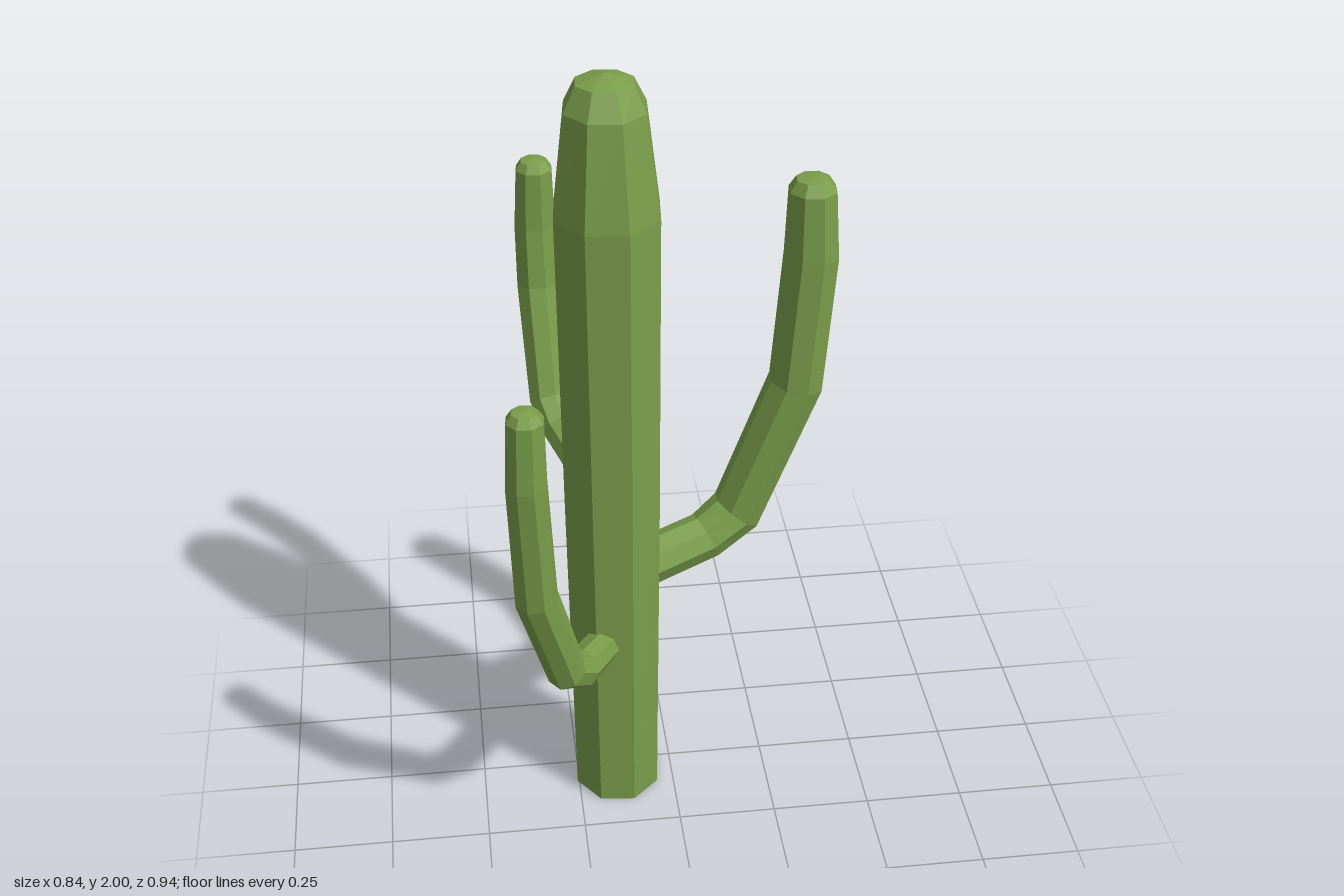
import * as THREE from 'three';

const SIDES = 8;
const PHASE = -17 * Math.PI / 180;
const UP = new THREE.Vector3(0, 1, 0);

// Lofts an eight-sided stem through rings [x, y, z, rx, rz], closed by a low dome
function stem(name, rings, tipY, material) {
  const centres = rings.map(r => new THREE.Vector3(r[0], r[1], r[2]));
  const last = rings.length - 1;
  const pos = [], index = [];
  rings.forEach(([, , , rx, rz = rx], i) => {
    // Each ring faces along the bisector of its neighbouring segments
    const dir = new THREE.Vector3();
    if (i > 0) dir.add(centres[i].clone().sub(centres[i - 1]).normalize());
    if (i < last) dir.add(centres[i + 1].clone().sub(centres[i]).normalize());
    if (i >= last - 1) dir.copy(UP);
    const turn = new THREE.Quaternion().setFromUnitVectors(UP, dir.normalize());
    for (let j = 0; j < SIDES; j++) {
      const a = PHASE + j / SIDES * Math.PI * 2;
      const p = new THREE.Vector3(Math.cos(a) * rx, 0, Math.sin(a) * rz);
      pos.push(...p.applyQuaternion(turn).add(centres[i]).toArray());
    }
  });
  const base = rings.length * SIDES, tip = base + 1;
  pos.push(...centres[0].toArray(), centres[last].x, tipY, centres[last].z);
  for (let j = 0; j < SIDES; j++) {
    const k = (j + 1) % SIDES;
    for (let i = 0; i < last; i++) {
      const a = i * SIDES + j, b = i * SIDES + k;
      index.push(a, a + SIDES, b, b, a + SIDES, b + SIDES);
    }
    index.push(base, j, k, last * SIDES + j, tip, last * SIDES + k);
  }
  const indexed = new THREE.BufferGeometry();
  indexed.setAttribute('position', new THREE.Float32BufferAttribute(pos, 3));
  indexed.setIndex(index);
  const geometry = indexed.toNonIndexed();
  geometry.computeVertexNormals();
  const mesh = new THREE.Mesh(geometry, material);
  mesh.name = name;
  return mesh;
}

export function createModel() {
  const group = new THREE.Group();
  group.name = 'cactus';
  const green = new THREE.MeshStandardMaterial({ color: 0x7a9e4a, flatShading: true });
  green.name = 'cactus green';

  // Trunk: widens slightly, then tapers to a blunt crown
  group.add(stem('trunk', [
    [-0.145, 0, 0.04, 0.115, 0.13],
    [-0.145, 0.85, 0.04, 0.125, 0.139],
    [-0.145, 1.67, 0.04, 0.131, 0.141],
    [-0.145, 1.92, 0.037, 0.1, 0.104],
    [-0.145, 1.98, 0.035, 0.07, 0.07],
  ], 2, green));

  // Tall arm on the left side
  group.add(stem('leftArm', [
    [-0.08, 0.655, 0.015, 0.062],
    [0.1, 0.695, -0.04, 0.062],
    [0.182, 0.75, -0.065, 0.068],
    [0.325, 1.12, -0.07, 0.07],
    [0.352, 1.47, -0.072, 0.069],
    [0.35, 1.64, -0.075, 0.06],
    [0.35, 1.668, -0.075, 0.042],
  ], 1.673, green));

  // Short arm reaching forward
  group.add(stem('frontArm', [
    [-0.175, 0.5, 0.12, 0.046],
    [-0.25, 0.545, 0.275, 0.048],
    [-0.29, 0.59, 0.33, 0.051],
    [-0.357, 0.86, 0.393, 0.053],
    [-0.37, 1.2, 0.422, 0.05],
    [-0.367, 1.365, 0.42, 0.045],
    [-0.367, 1.386, 0.42, 0.031],
  ], 1.391, green));

  // Middle arm reaching back
  group.add(stem('backArm', [
    [-0.19, 0.89, -0.06, 0.047],
    [-0.25, 0.925, -0.235, 0.049],
    [-0.272, 0.98, -0.298, 0.053],
    [-0.284, 1.26, -0.398, 0.056],
    [-0.286, 1.42, -0.416, 0.054],
    [-0.284, 1.572, -0.415, 0.047],
    [-0.284, 1.594, -0.415, 0.033],
  ], 1.599, green));

  return group;
}
